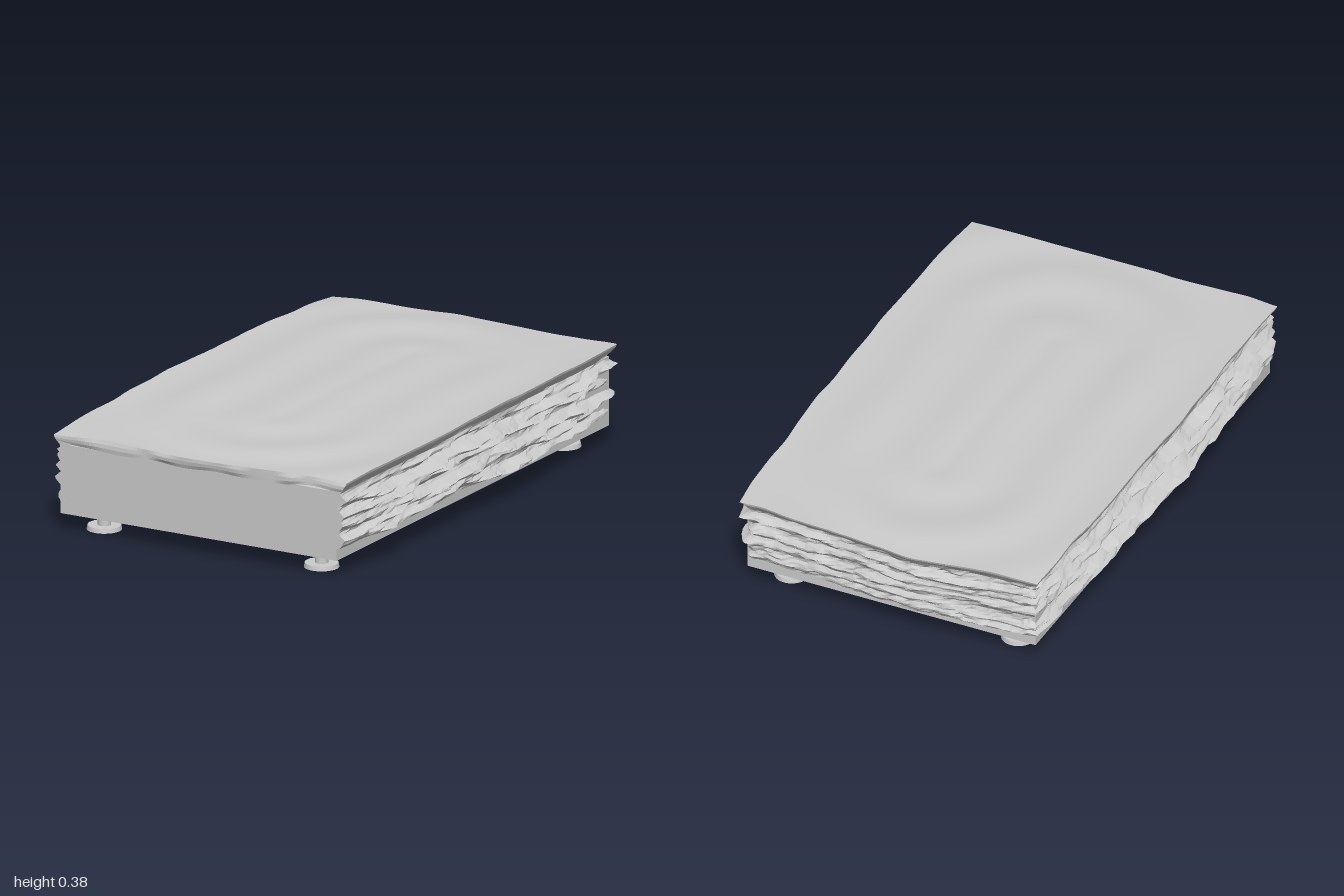
import * as THREE from 'three';

const lerp = THREE.MathUtils.lerp, smooth = THREE.MathUtils.smoothstep;

// Seeded value noise, -1..1
const hash = (i, k) => {
  const s = Math.sin(i * 127.1 + k * 311.7) * 43758.5453;
  return (s - Math.floor(s)) * 2 - 1;
};
const noise = (x, k) => {
  const i = Math.floor(x);
  return lerp(hash(i, k), hash(i + 1, k), smooth(x - i, 0, 1));
};

// Grid surface from a rule fn(i, j) -> [x, y, z]
function grid(nu, nv, fn) {
  const pos = [], index = [];
  for (let j = 0; j <= nv; j++) for (let i = 0; i <= nu; i++) pos.push(...fn(i, j));
  for (let j = 0; j < nv; j++) for (let i = 0; i < nu; i++) {
    const a = j * (nu + 1) + i, b = a + nu + 1;
    index.push(a, a + 1, b + 1, a, b + 1, b);
  }
  const g = new THREE.BufferGeometry();
  g.setAttribute('position', new THREE.Float32BufferAttribute(pos, 3));
  g.setIndex(index);
  g.computeVertexNormals();
  return g;
}

// Gently worn top: long concentric troughs with rounded ends
function height(x, z) {
  const dz = Math.max(Math.abs(z + 0.02) - 0.45, 0);
  const d = Math.hypot(x, dz);
  return 0.371 - 0.011 * z * z - (z < 0 ? 0.006 * z * z : 0)
    + 0.004 * Math.sin(d * 21 + noise(z * 2 + 9, 3))
    + 0.003 * noise(x * 5 + 20, 5) + 0.003 * noise(z * 3 + x * 2 + 20, 6);
}

// Point on the top; u runs -x to +x, v runs front to back
function topPoint(u, v) {
  const bulge = Math.sin(Math.PI * v);
  const xl = -0.607 - 0.02 * bulge + 0.006 * noise(v * 14, 11);
  const xr = lerp(0.59, 0.562, v) + 0.02 * bulge + 0.006 * noise(v * 14, 12);
  const zf = 0.975 + 0.006 * noise(u * 12, 13);
  const zb = -0.955 - 0.03 * Math.exp(-(((u - 0.42) / 0.2) ** 2)) - 0.012 * Math.sin(Math.PI * u)
    + 0.006 * noise(u * 12, 14);
  const x = lerp(xl, xr, u), z = lerp(zf, zb, v);
  return [x, height(x, z), z];
}

// Tooth depth of the split rock at path position t and height y
const layers = [
  [0.125, 0.022, 0.7], [0.155, 0.022, 0.75], [0.19, 0.024, 0.85],
  [0.238, 0.024, 0.8], [0.278, 0.026, 1], [0.31, 0.016, 0.4],
];
function tooth(t, y) {
  let depth = 0;
  layers.forEach(([cy, w, a], k) => {
    const c = cy + 0.016 * noise(t * 5, k + 20) + 0.006 * noise(t * 19, k + 30);
    const amp = a * (0.62 + 0.28 * noise(t * 8, k + 40) + 0.2 * noise(t * 26, k + 50));
    depth = Math.max(depth, amp * Math.max(0, 1 - Math.abs(y - c) / w));
  });
  return depth;
}

// Rough wall around right, back and left; t runs 0..3
const COLS = 168, ROWS = 30;
function wallPoint(i, j) {
  const end = i === 0 || i === COLS;
  const c = Math.min(Math.max(i - 1, 0), COLS - 2);
  const n = (COLS - 2) / 3, whole = Math.abs(c / n - Math.round(c / n)) < 1e-6;
  const t = c / n + (whole ? 0 : 0.006 * hash(c, 60));
  const side = Math.min(Math.floor(t), 2), f = t - side;
  const [u, v] = side === 0 ? [1, f] : side === 1 ? [1 - f, 1] : [0, 1 - f];
  const p = topPoint(u, v);
  // Outward direction, turning diagonal at the back corners
  const nx = side === 0 ? 1 : side === 2 ? -1
    : smooth(u, 0.94, 1) - (1 - smooth(u, 0, 0.06));
  const nz = side === 1 ? -1 : -smooth(v, 0.96, 1);
  const reach = side === 1 ? lerp(0.035, 0.05, Math.abs(2 * u - 1) ** 8)
    : lerp(0.05, side === 0 ? 0.1 : 0.082, Math.sin(Math.PI * v) ** 0.6);
  const y = lerp(0.108, p[1], Math.max(j - 1, 0) / (ROWS - 1));
  const ramp = 1 - smooth(y, 0.305, p[1]);
  let out = -0.032 * ramp + reach * tooth(t, y) * ramp + 0.003 * ramp * hash(c, j + 70);
  if (j === 0) out = -0.07;
  if (end) out = Math.min(out, -0.07);
  return [p[0] + nx * out, y, p[2] + nz * out];
}

export function createModel() {
  const group = new THREE.Group();
  const plain = new THREE.MeshStandardMaterial({ color: 0xcccccc });
  const worn = new THREE.MeshStandardMaterial({ color: 0xcccccc, side: THREE.DoubleSide });
  const rock = new THREE.MeshStandardMaterial({
    color: 0xcccccc, flatShading: true, side: THREE.DoubleSide,
  });
  const add = (name, geo, mat, x = 0, y = 0, z = 0, parent = group) => {
    const m = new THREE.Mesh(geo, mat);
    m.name = name;
    m.position.set(x, y, z);
    parent.add(m);
  };

  // Smooth core block
  add('baseBlock', new THREE.BoxGeometry(1.13, 0.255, 1.89), plain, -0.02, 0.1925, 0.025);

  // Stone skin
  add('stoneTop', grid(60, 80, (i, j) => topPoint(i / 60, j / 80)), worn);
  add('splitRockWall', grid(COLS, ROWS, wallPoint), rock);

  // Ragged lip over the front face
  add('frontLip', grid(60, 4, (i, j) => {
    const u = i / 60, p = topPoint(u, 0);
    const low = 0.318 + 0.008 * noise(u * 9, 80) + 0.012 * Math.abs(2 * u - 1) ** 6;
    if (j === 0) return [p[0] * 0.95, low, 0.95];
    const k = (j - 1) / 3;
    const bulge = Math.sin(Math.PI * k) * (0.004 + 0.004 * noise(u * 16, 81));
    return [lerp(p[0] * 0.975, p[0], k), lerp(low, p[1], k), lerp(0.973, p[2], k) + bulge];
  }), rock);

  // Four levelling feet
  const stem = new THREE.CylinderGeometry(0.024, 0.024, 0.055, 24);
  const pad = new THREE.CylinderGeometry(0.06, 0.063, 0.016, 32);
  for (const x of [-0.465, 0.425]) for (const z of [0.87, -0.81]) {
    const foot = new THREE.Group();
    foot.name = 'foot';
    foot.position.set(x, 0, z);
    add('footStem', stem, plain, 0, 0.04, 0, foot);
    add('footPad', pad, plain, 0, 0.008, 0, foot);
    group.add(foot);
  }
  return group;
}
